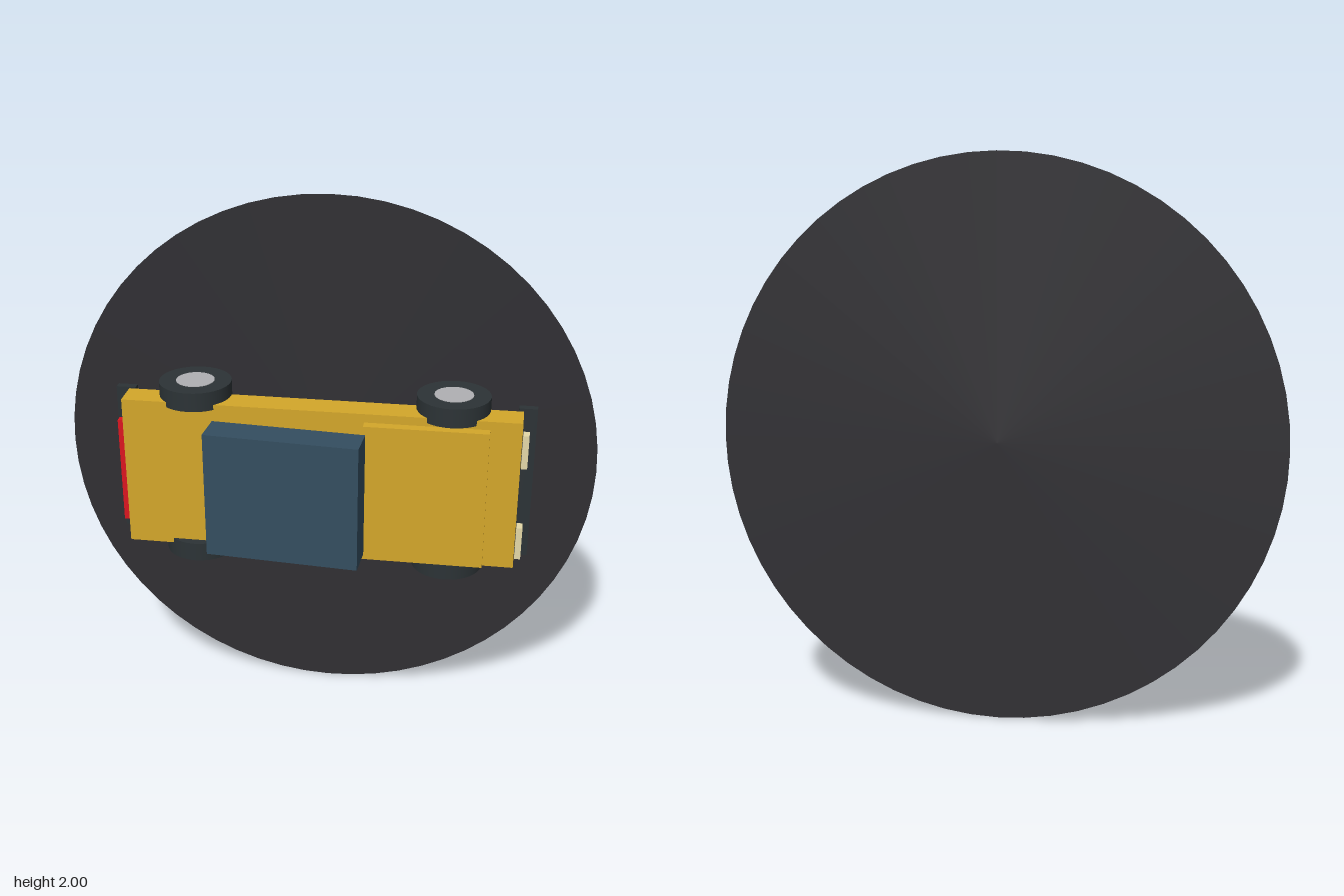
import * as THREE from 'three';

const mat = (color, extra = {}) => new THREE.MeshStandardMaterial({ color, ...extra });

export function createModel() {
  const model = new THREE.Group();
  model.name = 'carOnDisc';
  const yellow = mat(0xd4a72a);
  const dark = mat(0x2c3336);
  const glass = mat(0x344e60);
  const cream = mat(0xe5d9a8);
  const red = mat(0xdd1520);
  const silver = mat(0xb0b0b3);
  const midY = 1.0025; // centre line of the car

  function add(name, geometry, material, x, y, z) {
    const mesh = new THREE.Mesh(geometry, material);
    mesh.name = name;
    mesh.position.set(x, y, z);
    model.add(mesh);
    return mesh;
  }

  // Box given by its limits on each axis
  const box = (name, material, [x0, x1], [y0, y1], [z0, z1]) =>
    add(name, new THREE.BoxGeometry(x1 - x0, y1 - y0, z1 - z0), material,
      (x0 + x1) / 2, (y0 + y1) / 2, (z0 + z1) / 2);

  // Ground disc, standing upright behind the car
  add('groundDisc', new THREE.CircleGeometry(1, 64),
    mat(0x302f33, { side: THREE.DoubleSide }), 0, 1, -0.225);

  // Body and hood
  box('body', yellow, [-0.72, 0.717], [0.715, 1.29], [-0.076, 0.031]);
  box('hood', yellow, [0.165, 0.605], [0.739, 1.268], [0.053, 0.09]);

  // Cabin, tilted along the car
  const cabin = add('cabin', new THREE.BoxGeometry(0.557, 0.476, 0.122), glass, -0.107, midY, 0.141);
  cabin.rotation.y = -0.07;

  // Bumpers
  box('frontBumper', dark, [0.7, 0.766], [0.708, 1.298], [-0.112, -0.084]);
  box('rearBumper', dark, [-0.772, -0.7], [0.715, 1.29], [-0.117, -0.088]);

  // Lights
  for (const side of [-1, 1]) {
    add('headlight', new THREE.BoxGeometry(0.022, 0.127, 0.04), cream,
      0.73, midY + side * 0.181, 0.02);
  }
  box('tailLight', red, [-0.74, -0.715], [0.8, 1.206], [0, 0.027]);

  // Wheels with hubs, axles along y
  for (const x of [-0.467, 0.47]) {
    for (const side of [-1, 1]) {
      add('wheel', new THREE.CylinderGeometry(0.132, 0.132, 0.071, 32), dark,
        x, midY + side * 0.304, -0.068);
      add('hub', new THREE.CylinderGeometry(0.07, 0.07, 0.073, 32), silver,
        x, midY + side * 0.305, -0.068);
    }
  }
  return model;
}
